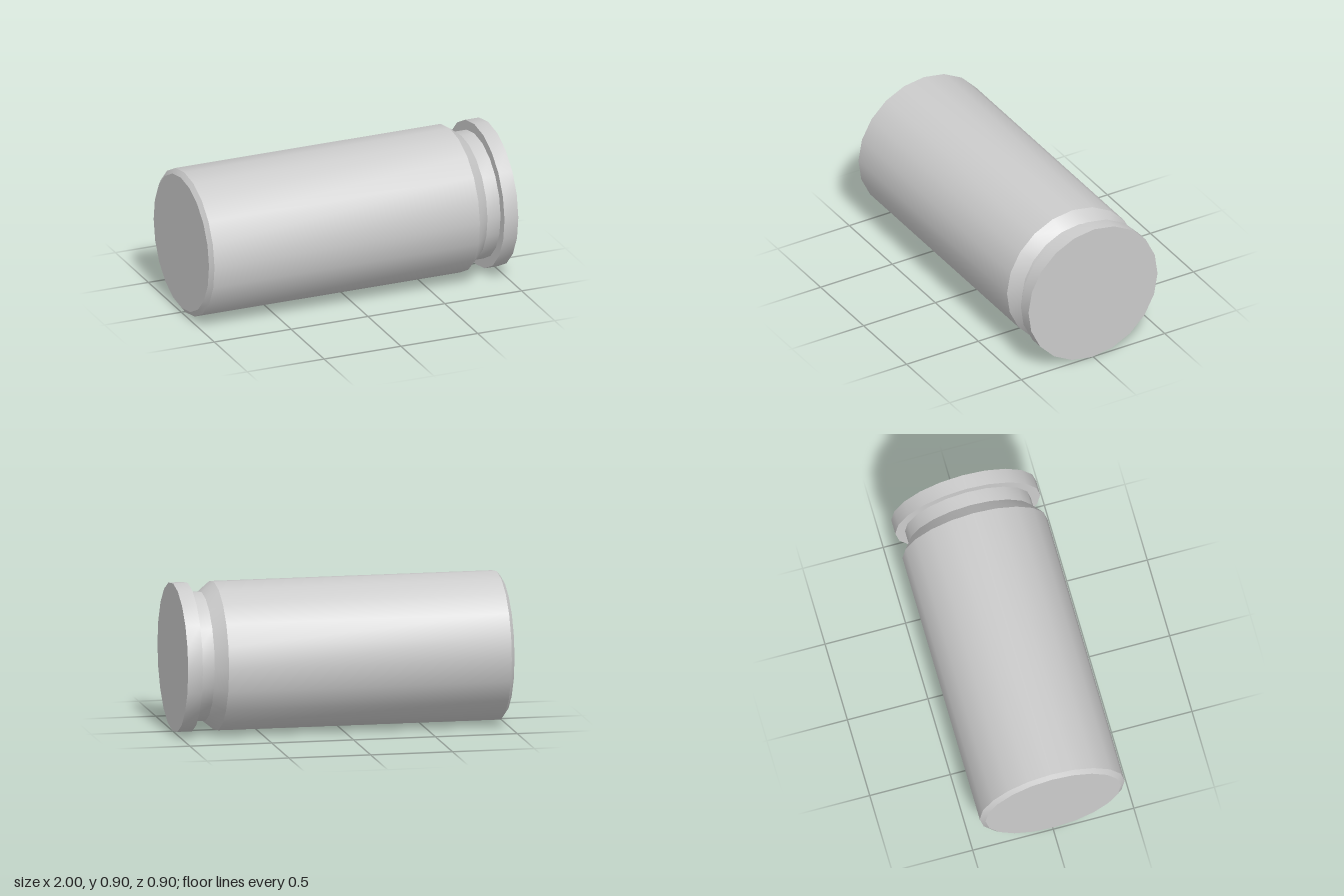
import * as THREE from 'three';
import { toCreasedNormals } from 'three/addons/utils/BufferGeometryUtils.js';

const SIDES = 20;

// Turned solid along x from [x, radius] pairs, smooth around, sharp at the steps
function turned(name, profile, material) {
  const points = profile.map(([x, r]) => new THREE.Vector2(r, x));
  const lathe = new THREE.LatheGeometry(points, SIDES);
  lathe.rotateZ(-Math.PI / 2).rotateX(-0.018);
  const mesh = new THREE.Mesh(toCreasedNormals(lathe, 0.5), material);
  mesh.name = name;
  return mesh;
}

export function createModel() {
  const group = new THREE.Group();
  group.name = 'casing';
  const material = new THREE.MeshStandardMaterial({ color: 0xcccccc });

  // Long body: chamfered mouth, straight wall, taper and extractor groove, then the rim
  const body = turned('casingBody', [
    [-1, 0], [-1, 0.42], [-0.977, 0.45],
    [0.75, 0.45], [0.825, 0.39],
    [0.91, 0.39], [0.91, 0.45],
    [1, 0.45], [1, 0],
  ], material);
  body.position.y = 0.45;
  group.add(body);
  return group;
}
